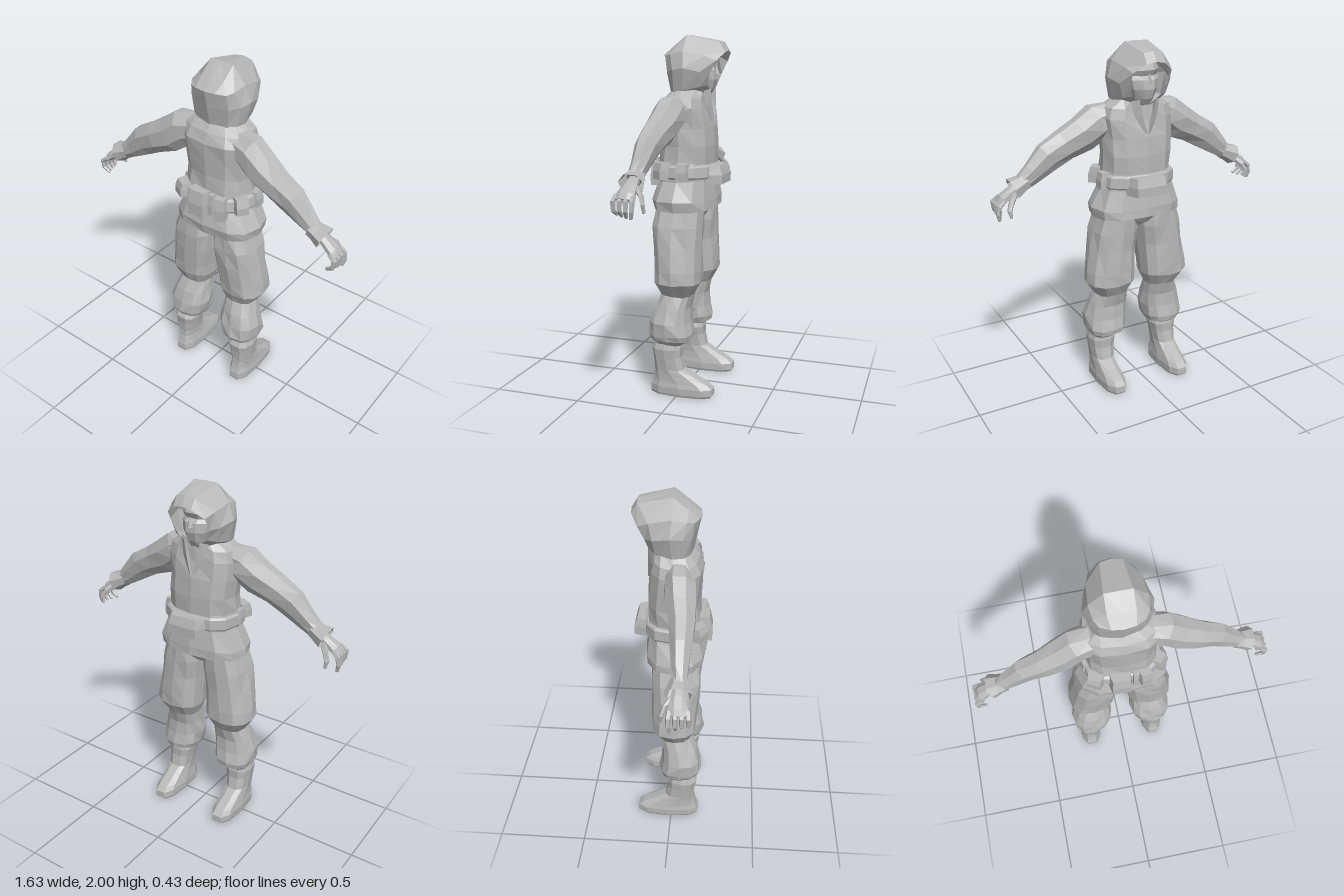
import * as THREE from 'three';

const cloth = new THREE.MeshStandardMaterial({ color: 0xb8b8b8, flatShading: true, side: THREE.DoubleSide });
cloth.name = 'plain grey';

// Small repeatable wobble that gives the cloth uneven facets
const wobble = (i, j) => { const v = Math.sin(i * 12.99 + j * 78.23) * 437.58; return (v - Math.floor(v)) * 2 - 1; };

// Skin between closed loops of points, turned to face outward
function loft(name, loops, { capStart = true, capEnd = true } = {}) {
  const n = loops[0].length, pos = loops.flat(2), tris = [];
  for (let i = 0; i < loops.length - 1; i++)
    for (let j = 0; j < n; j++) {
      const a = i * n + j, b = i * n + (j + 1) % n;
      tris.push([a, b, b + n], [a, b + n, a + n]);
    }
  const cap = (k, flip) => {
    const c = [0, 1, 2].map(d => loops[k].reduce((t, p) => t + p[d], 0) / n);
    const ci = pos.length / 3;
    pos.push(...c);
    for (let j = 0; j < n; j++) {
      const a = k * n + j, b = k * n + (j + 1) % n;
      tris.push(flip ? [ci, b, a] : [ci, a, b]);
    }
  };
  if (capStart) cap(0, true);
  if (capEnd) cap(loops.length - 1, false);
  const P = i => new THREE.Vector3().fromArray(pos, i * 3);
  const mid = P(0).lerp(P(n * (loops.length - 1)), 0.5);
  let volume = 0;
  for (const [a, b, c] of tris) volume += P(a).sub(mid).dot(P(b).sub(mid).cross(P(c).sub(mid)));
  if (volume < 0) tris.forEach(t => t.reverse());
  const g = new THREE.BufferGeometry();
  g.setAttribute('position', new THREE.Float32BufferAttribute(pos, 3));
  g.setIndex(tris.flat());
  const flat = g.toNonIndexed();
  flat.computeVertexNormals();
  const mesh = new THREE.Mesh(flat, cloth);
  mesh.name = name;
  return mesh;
}

// Stack of level rings, each row: y, x min, x max, z min, z max
function stack(name, rows, { s = 1, n = 12, rough = 0, power = 0.75, ...opt } = {}) {
  const bend = v => Math.sign(v) * Math.abs(v) ** power;
  return loft(name, rows.map(([y, x0, x1, z0, z1], i) => Array.from({ length: n }, (_, j) => {
    const a = j / n * Math.PI * 2, w = rough * wobble(i + 1, j + 1);
    return [s * ((x0 + x1) / 2 + bend(Math.cos(a)) * ((x1 - x0) / 2 + w)), y + w,
      (z0 + z1) / 2 + bend(Math.sin(a)) * ((z1 - z0) / 2 + w)];
  })), opt);
}

// Limb along a path, each row: x, y, z, radius in the xy plane, radius in z
function limb(name, rows, { s = 1, n = 8, rough = 0, ...opt } = {}) {
  return loft(name, rows.map(([x, y, z, r, rz], i) => {
    const p = rows[Math.max(i - 1, 0)], q = rows[Math.min(i + 1, rows.length - 1)];
    const l = Math.hypot(q[0] - p[0], q[1] - p[1]), ux = -(q[1] - p[1]) / l, uy = (q[0] - p[0]) / l;
    return Array.from({ length: n }, (_, j) => {
      const a = (j + 0.5) / n * Math.PI * 2, w = rough * wobble(i + 3, j + 2), c = Math.cos(a) * (r + w);
      return [s * (x + ux * c), y + uy * c, z + Math.sin(a) * (rz + w)];
    });
  }), opt);
}

// Pouch narrowing outward and at the top, turned about y
function pouch(name, x, y, z, w, h, d, turn = 0) {
  const g = new THREE.BoxGeometry(w, h, d, 1, 2, 1), p = g.attributes.position;
  for (let i = 0; i < p.count; i++) {
    const top = p.getY(i) > 0.01, outer = p.getZ(i) > 0;
    p.setX(i, p.getX(i) * (top ? 0.92 : 1) * (outer ? 0.85 : 1.1));
    if (top && outer) p.setZ(i, p.getZ(i) * 0.6);
  }
  const flat = g.toNonIndexed();
  flat.computeVertexNormals();
  const m = new THREE.Mesh(flat, cloth);
  m.name = name;
  m.position.set(x, y, z);
  m.rotation.y = turn;
  return m;
}

export function createModel() {
  const model = new THREE.Group();
  model.name = 'hoodedFigure';

  // Hood: half loops from the face opening to the back seam, mirrored over x
  const hoodLoops = [
    [[0, 1.915, -.215], [.055, 1.905, -.212], [.115, 1.86, -.178], [.115, 1.79, -.142], [.09, 1.73, -.125], [.02, 1.68, -.12]],
    [[0, 1.965, -.185], [.055, 1.958, -.18], [.135, 1.885, -.12], [.155, 1.80, -.10], [.13, 1.72, -.09], [.05, 1.67, -.09]],
    [[0, 2.0, 0], [.07, 1.998, 0], [.145, 1.91, 0], [.177, 1.82, -.01], [.15, 1.70, 0], [.06, 1.66, 0]],
    [[0, 1.94, .085], [.07, 1.935, .08], [.135, 1.895, .075], [.158, 1.81, .055], [.14, 1.70, .055], [.06, 1.67, .06]],
    [[0, 1.89, .146], [.06, 1.89, .138], [.11, 1.885, .112], [.115, 1.80, .10], [.10, 1.70, .085], [.05, 1.68, .095]],
    [[0, 1.89, .146], [0, 1.89, .146], [0, 1.885, .145], [0, 1.80, .127], [0, 1.70, .107], [0, 1.68, .10]],
  ].map(h => [...h, ...h.slice(1).reverse().map(([x, y, z]) => [-x, y, z])]);
  model.add(loft('hood', hoodLoops, { capStart: false, capEnd: false }));

  // Face with brow, nose and a cloth over the mouth
  model.add(stack('head', [[1.66, -.06, .06, -.10, .06], [1.71, -.065, .065, -.135, .07], [1.76, -.085, .085, -.15, .08],
    [1.81, -.095, .095, -.145, .09], [1.83, -.095, .095, -.125, .09], [1.86, -.10, .10, -.14, .09], [1.91, -.08, .08, -.12, .07]], { n: 10, power: 0.9 }));
  const nose = new THREE.Mesh(new THREE.ConeGeometry(.018, .06, 4), cloth);
  nose.name = 'nose';
  nose.position.set(0, 1.82, -.145);
  model.add(nose);

  // Jacket with a flared skirt
  model.add(stack('jacket', [[1.05, -.25, .265, -.15, .18], [1.10, -.258, .27, -.15, .185], [1.21, -.205, .22, -.135, .16],
    [1.31, -.19, .20, -.14, .155], [1.40, -.19, .20, -.14, .145], [1.50, -.20, .205, -.13, .15], [1.60, -.205, .21, -.118, .16],
    [1.66, -.19, .195, -.108, .14], [1.71, -.12, .125, -.10, .09]], { rough: .006 }));
  for (const s of [-1, 1]) // Open collar edges
    model.add(loft('collarFlap', [
      [[s * .05, 1.71, -.13], [s * .085, 1.70, -.10], [s * .05, 1.68, -.09]],
      [[s * .03, 1.61, -.135], [s * .07, 1.62, -.11], [s * .03, 1.61, -.10]],
      [[s * .004, 1.52, -.14], [s * .02, 1.53, -.13], [s * .005, 1.53, -.12]]]));

  // Belt and its pouches
  model.add(stack('belt', [[1.225, -.205, .225, -.155, .172], [1.235, -.212, .232, -.16, .18], [1.29, -.21, .225, -.158, .175], [1.30, -.20, .21, -.15, .16]]));
  for (const [x, y, z, w, h, d, t] of [
    [-.02, 1.245, .175, .12, .15, .08, 0], [.115, 1.245, .165, .07, .13, .06, .25], [.06, 1.255, .165, .03, .12, .05, 0],
    [-.155, 1.27, .145, .09, .08, .07, -.5], [.205, 1.27, .10, .08, .09, .07, .9], [-.195, 1.27, .04, .07, .08, .04, -1.4],
    [.22, 1.265, -.02, .07, .09, .05, 1.57], [.015, 1.245, -.17, .21, .10, .085, Math.PI]])
    model.add(pouch('beltPouch', x, y, z, w, h, d, t));

  // Trouser seat joining the legs
  model.add(stack('trouserSeat', [[.965, -.02, .02, -.03, .06], [.995, -.07, .07, -.08, .11], [1.04, -.19, .19, -.11, .14], [1.10, -.22, .22, -.12, .15]]));

  for (const s of [-1, 1]) {
    const leg = new THREE.Group();
    leg.name = s > 0 ? 'leftLeg' : 'rightLeg';
    // Baggy trousers gathered at the knee and tucked above the boot
    leg.add(stack('trouserLeg', [[.295, .14, .275, -.03, .13], [.32, .085, .295, -.065, .16], [.35, .075, .308, -.07, .176], [.42, .062, .306, -.058, .168],
      [.50, .065, .285, -.052, .143], [.575, .07, .26, -.07, .108], [.65, .035, .312, -.115, .14], [.72, .03, .308, -.115, .148],
      [.85, .02, .285, -.11, .16], [.96, .012, .265, -.115, .165], [1.09, .02, .225, -.115, .155]], { s, rough: .006, power: .8 }));
    // Boot with a long foot
    leg.add(stack('boot', [[0, .145, .275, -.195, .162], [.012, .14, .28, -.207, .168], [.05, .14, .282, -.205, .165], [.075, .145, .277, -.175, .155],
      [.11, .15, .275, -.105, .145], [.15, .15, .275, -.035, .14], [.22, .14, .282, -.018, .145], [.27, .13, .288, -.02, .155], [.32, .15, .275, -.01, .13]],
    { s, n: 10 }));
    model.add(leg);

    const arm = new THREE.Group();
    arm.name = s > 0 ? 'leftArm' : 'rightArm';
    arm.add(limb('sleeve', [[.12, 1.61, .04, .075, .075], [.215, 1.578, .045, .105, .085], [.30, 1.515, .055, .105, .08], [.40, 1.465, .067, .09, .068],
      [.50, 1.41, .07, .087, .057], [.59, 1.335, .073, .065, .047], [.66, 1.285, .075, .044, .04]], { s, rough: .005 }));
    arm.add(limb('cuff', [[.625, 1.30, .075, .046, .048], [.66, 1.285, .072, .05, .056], [.705, 1.265, .07, .062, .07]], { s, n: 7, capStart: false, capEnd: false }));
    // Gloved hand with curled fingers
    arm.add(limb('palm', [[.65, 1.285, .075, .028, .03], [.71, 1.255, .072, .028, .04], [.765, 1.22, .075, .027, .052], [.787, 1.198, .078, .018, .05]], { s }));
    for (let f = 0; f < 4; f++) { // each finger curls a little more than the last
      const z = .035 + f * .029, spread = (f - 1.5) * .004, curl = f * .014;
      arm.add(limb('finger', [[.765, 1.22, z, .015, .015], [.798, 1.193, z + spread, .016, .014],
        [.806 - curl * .3, 1.15, z + spread, .013, .012], [.797 - curl, 1.112 + curl * .3, z, .009, .009]], { s, n: 5 }));
    }
    arm.add(limb('thumb', [[.70, 1.25, .045, .02, .02], [.733, 1.218, .01, .018, .016], [.755, 1.175, -.008, .014, .012], [.748, 1.135, -.012, .008, .008]], { s, n: 5 }));
    model.add(arm);
  }
  return model;
}
